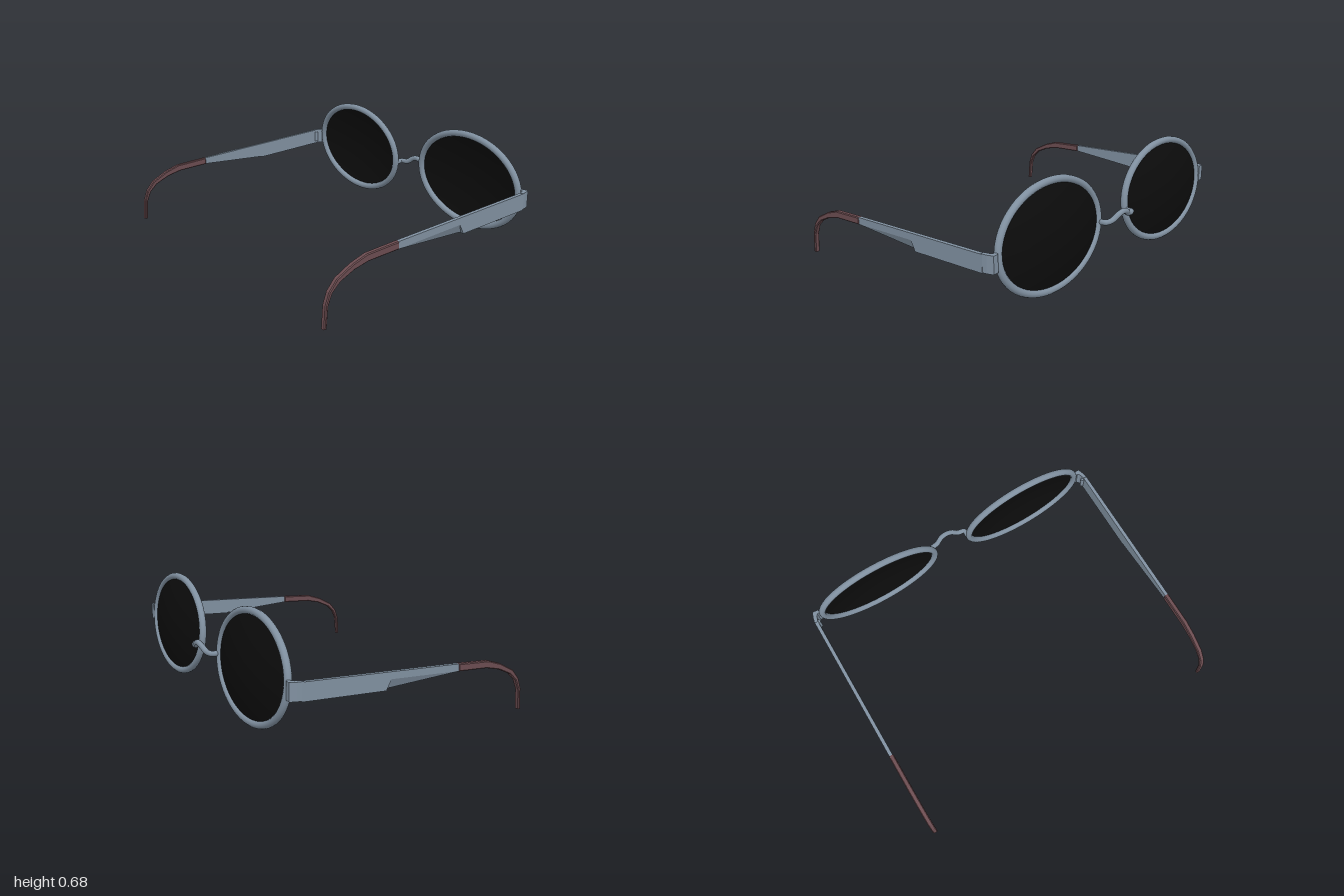
import * as THREE from 'three';

const metal = new THREE.MeshStandardMaterial({ color: 0x8090a0 });
const metalFlat = new THREE.MeshStandardMaterial({ color: 0x8090a0, flatShading: true });
const brown = new THREE.MeshStandardMaterial({ color: 0x6b4c50, flatShading: true });
const black = new THREE.MeshStandardMaterial({ color: 0x0c0c0c, side: THREE.DoubleSide });

function part(parent, name, geometry, material) {
  const mesh = new THREE.Mesh(geometry, material);
  mesh.name = name;
  parent.add(mesh);
  return mesh;
}

function extrude(points, depth, bevel = 0) {
  const shape = new THREE.Shape(points.map(([a, b]) => new THREE.Vector2(a, b)));
  return new THREE.ExtrudeGeometry(shape, {
    depth: depth - 2 * bevel, bevelEnabled: bevel > 0, bevelSegments: 1,
    bevelSize: bevel, bevelThickness: bevel, bevelOffset: -bevel,
  }).translate(0, 0, bevel);
}

// Side outline (z, y) extruded inward from the plane x = outer
const sidePlate = (geometry, outer) => geometry.rotateY(-Math.PI / 2).translate(outer, 0, 0);

// Oval rim with a domed lens, tilted back at the top
function makeEyepiece(side) {
  const group = new THREE.Group();
  group.name = side > 0 ? 'leftEyepiece' : 'rightEyepiece';
  const a = 0.4, b = 0.291;
  const loop = Array.from({ length: 48 }, (_, i) => {
    const t = (i / 48) * Math.PI * 2;
    return new THREE.Vector3(a * Math.cos(t), b * Math.sin(t), 0);
  });
  const oval = new THREE.CatmullRomCurve3(loop, true);
  part(group, 'rim', new THREE.TubeGeometry(oval, 64, 0.021, 12, true), metal);

  const lens = new THREE.RingGeometry(0.001, 1, 64, 10);
  const p = lens.attributes.position;
  for (let i = 0; i < p.count; i++) {
    const x = p.getX(i), y = p.getY(i);
    p.setXYZ(i, x * a, y * b, -0.055 * (1 - x * x - y * y));
  }
  lens.computeVertexNormals();
  part(group, 'lens', lens, black);

  group.rotation.x = 0.097;
  group.position.set(side * 0.527, 0.362 + side * 0.004, -0.69);
  return group;
}

// Hinge, temple arm and curved ear tip, modelled on the +x side
function makeTemple(side) {
  const group = new THREE.Group();
  group.name = side > 0 ? 'leftTemple' : 'rightTemple';

  // End piece: plan outline (x, -z) extruded upwards
  const endPiece = extrude([
    [0.925, 0.685], [0.955, 0.685], [0.965, 0.675], [0.976, 0.64],
    [0.997, 0.64], [0.991, 0.675], [0.978, 0.71], [0.945, 0.708],
  ], 0.098).rotateX(-Math.PI / 2).translate(0, 0.306, 0);
  part(group, 'endPiece', endPiece, metalFlat);
  part(group, 'hinge', new THREE.CylinderGeometry(0.012, 0.012, 0.07, 12), metal)
    .position.set(0.972, 0.352, -0.645);

  // Arm: the outer face is notched, sloping out to the full inner face
  const depth = 0.022;
  const arm = extrude([
    [-0.65, 0.302], [-0.16, 0.273], [-0.13, 0.33],
    [0.32, 0.302], [0.32, 0.342], [-0.65, 0.402],
  ], depth);
  const p = arm.attributes.position;
  for (let i = 0; i < p.count; i++) {
    if (p.getZ(i) > depth / 2 && Math.abs(p.getX(i) + 0.13) < 0.001) {
      p.setXY(i, -0.15, 0.277);
    }
  }
  arm.computeVertexNormals();
  part(group, 'arm', sidePlate(arm, 0.997), metalFlat);

  // Ear tip: upper edge out to the end, lower edge back
  const tip = extrude([
    [0.31, 0.30], [0.31, 0.343], [0.52, 0.328], [0.61, 0.298], [0.707, 0.246],
    [0.754, 0.19], [0.777, 0.124], [0.785, 0.0], [0.768, 0.0], [0.758, 0.12],
    [0.733, 0.18], [0.686, 0.225], [0.6, 0.265], [0.51, 0.287],
  ].reverse(), 0.03, 0.005);
  part(group, 'earTip', sidePlate(tip, 1), brown);

  group.scale.x = side;
  return group;
}

export function createModel() {
  const model = new THREE.Group();
  model.name = 'glasses';
  for (const side of [1, -1]) model.add(makeEyepiece(side), makeTemple(side));

  // Arched nose bridge set forward of the rims
  const half = [[0.125, 0.33, -0.70], [0.122, 0.333, -0.743], [0.075, 0.337, -0.754], [0.04, 0.361, -0.765]];
  const path = [
    ...half.map(([x, y, z]) => new THREE.Vector3(-x, y, z)),
    new THREE.Vector3(0, 0.372, -0.768),
    ...half.reverse().map(([x, y, z]) => new THREE.Vector3(x, y, z)),
  ];
  const curve = new THREE.CatmullRomCurve3(path);
  part(model, 'bridge', new THREE.TubeGeometry(curve, 32, 0.017, 8), metal);
  return model;
}
